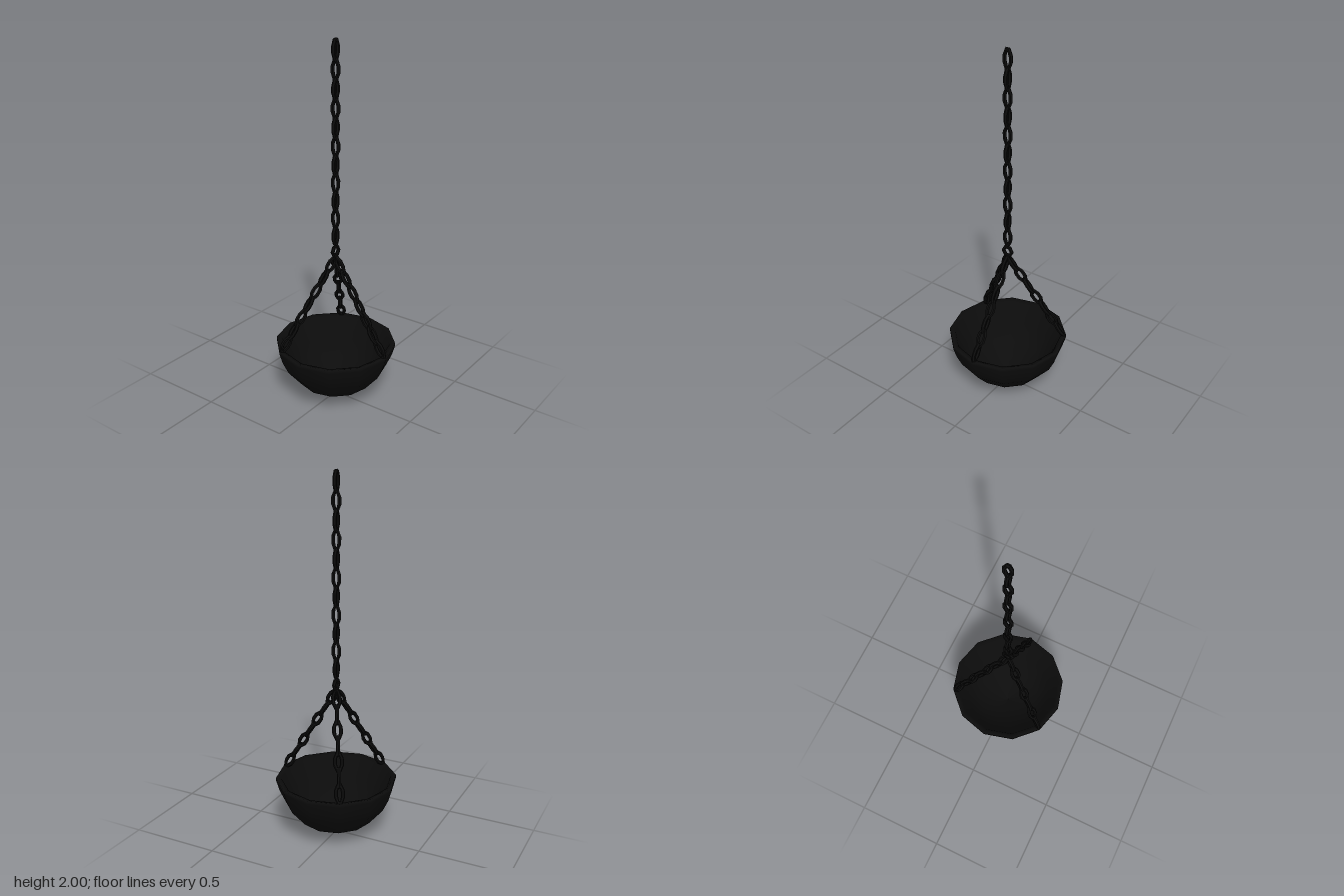
import * as THREE from 'three';

const iron = new THREE.MeshStandardMaterial({ color: 0x0c0c0c, side: THREE.DoubleSide });
iron.name = 'blackIron';

// Eight-cornered wire link: short straight sides tapering to narrow ends
function makeLink(halfWidth, halfLength, wire) {
  const g = new THREE.TorusGeometry(1, wire, 6, 8);
  const p = g.attributes.position;
  const uv = g.attributes.uv;
  for (let i = 0; i < p.count; i++) {
    const u = uv.getX(i) * Math.PI * 2 + Math.PI / 8;
    const c = Math.cos(u), s = Math.sin(u);
    const out = Math.hypot(p.getX(i), p.getY(i)) - 1;
    const onSide = Math.abs(c) > Math.abs(s);
    const x = Math.sign(c) * halfWidth * (onSide ? 1 : 0.4);
    const y = Math.sign(s) * halfLength * (onSide ? 0.32 : 1);
    p.setXY(i, x + c * out, y + s * out);
  }
  const flat = g.toNonIndexed();
  flat.computeVertexNormals();
  return flat;
}

// Links hanging down from the group's origin, each turned a quarter from the last
function makeChain(name, geometry, count, pitch, firstTurn) {
  const chain = new THREE.Group();
  chain.name = name;
  for (let i = 0; i < count; i++) {
    const link = new THREE.Mesh(geometry, iron);
    link.name = 'link';
    link.position.y = -i * pitch;
    link.rotation.y = ((i + firstTurn) % 2) * Math.PI / 2;
    chain.add(link);
  }
  return chain;
}

export function createModel() {
  const model = new THREE.Group();
  model.name = 'hangingBowl';

  // Twelve-sided bowl: outer wall, rim, then inner wall
  const profile = [
    [0, 0.003], [0.108, 0.045], [0.203, 0.099], [0.283, 0.194], [0.314, 0.26], [0.332, 0.32], [0.332, 0.34],
    [0.302, 0.332], [0.252, 0.216], [0.18, 0.13], [0.095, 0.08], [0, 0.04],
  ];
  const bowl = new THREE.Mesh(
    new THREE.LatheGeometry(profile.map(([r, y]) => new THREE.Vector2(r, y)), 12), iron);
  bowl.name = 'bowl';
  model.add(bowl);

  // Main chain
  const linkGeometry = makeLink(0.018, 0.046, 0.011);
  const mainChain = makeChain('mainChain', linkGeometry, 11, 0.0978, 0);
  mainChain.position.y = 1.944;
  model.add(mainChain);

  // Joining ring
  const ringGeometry = new THREE.TorusGeometry(0.027, 0.0105, 6, 6).toNonIndexed();
  ringGeometry.computeVertexNormals();
  const ring = new THREE.Mesh(ringGeometry, iron);
  ring.name = 'joiningRing';
  ring.position.y = 0.879;
  model.add(ring);

  // Three chains spreading to the rim; the left one starts a quarter turn off
  const names = ['frontChain', 'leftChain', 'rightChain'];
  const firstTurns = [1, 0, 1];
  names.forEach((name, i) => {
    const angle = i * Math.PI * 2 / 3;
    const chain = makeChain(name, linkGeometry, 7, 0.0835, firstTurns[i]);
    chain.position.set(Math.sin(angle) * 0.026, 0.803, Math.cos(angle) * 0.026);
    chain.rotation.set(-Math.atan2(0.0445, 0.0707), angle, 0, 'YXZ');
    model.add(chain);
  });

  return model;
}
